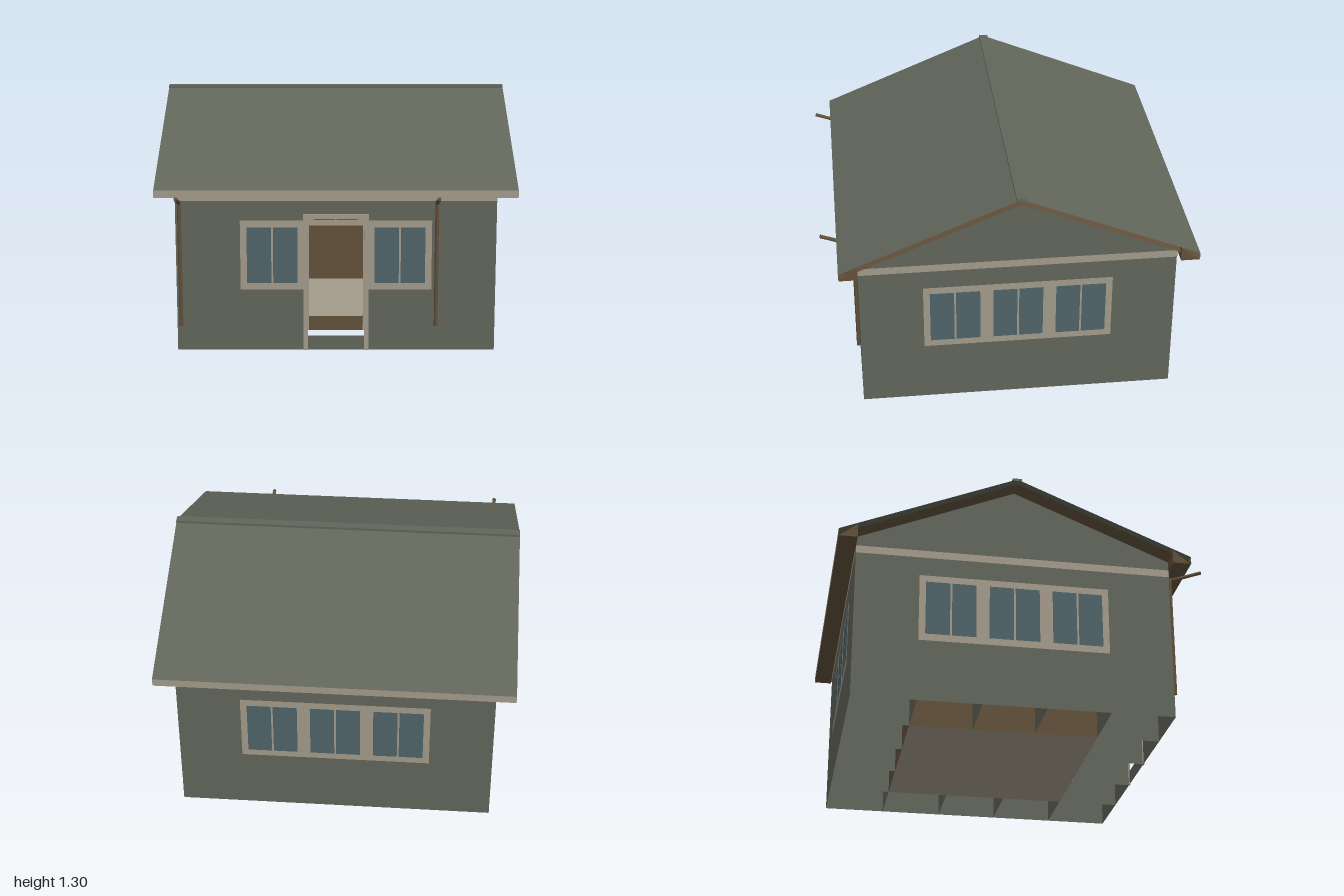
import * as THREE from 'three';

const mat = (name, color, side = THREE.FrontSide) => {
  const m = new THREE.MeshStandardMaterial({ color, side });
  m.name = name;
  return m;
};

export function createModel() {
  const green = mat('wall green', 0x62665a, THREE.DoubleSide);
  const trim = mat('trim beige', 0xa39b8b, THREE.DoubleSide);
  const glass = mat('window glass', 0x4f6468);
  const wood = mat('brown wood', 0x63513b, THREE.DoubleSide);

  const HALF = 0.852, CELL = 0.34, INNER = 0.51, WALL = 0.868;
  const EAVE = 0.953, EAVE_Y = 0.907, RIDGE = 1.3;
  const roofY = (d) => RIDGE - (d / EAVE) * (RIDGE - EAVE_Y);

  const model = new THREE.Group();
  model.name = 'house';
  const house = new THREE.Group();
  house.name = 'building';
  house.position.z = -0.043;
  model.add(house);

  const add = (parent, name, geo, material, x = 0, y = 0, z = 0) => {
    const mesh = new THREE.Mesh(geo, material);
    mesh.name = name;
    mesh.position.set(x, y, z);
    parent.add(mesh);
    return mesh;
  };
  const plate = (parent, name, material, w, h, x, y, z) =>
    add(parent, name, new THREE.PlaneGeometry(w, h), material, x, y, z);
  const points = (list) => list.map((p) => new THREE.Vector2(...p));
  const rect = (x0, y0, x1, y1, Kind = THREE.Shape) =>
    new Kind(points([[x0, y0], [x1, y0], [x1, y1], [x0, y1]]));
  const doorHole = () => rect(-0.15, 0.08, 0.15, 0.73, THREE.Path);

  // Two glass panes of one window
  const windowPanes = (parent, x, z) => {
    for (const s of [-1, 1]) plate(parent, 'windowPane', glass, 0.13, 0.305, x + s * 0.07, 0.53, z);
  };

  // Four sides, each built facing +z and turned into place
  ['front', 'left', 'back', 'right'].forEach((name, i) => {
    const side = new THREE.Group();
    side.name = name + 'Side';
    side.rotation.y = i * Math.PI / 2;
    house.add(side);
    const isFront = i === 0;

    // Outer wall, with a gable on the two ends
    const wall = rect(-HALF, 0, HALF, WALL);
    if (isFront) wall.holes.push(doorHole());
    add(side, name + 'Wall', new THREE.ShapeGeometry(wall), green, 0, 0, HALF);
    if (i % 2) {
      const shoulder = roofY(HALF) - 0.003;
      const gable = new THREE.Shape(points([[-HALF, WALL], [HALF, WALL], [HALF, shoulder],
        [0, RIDGE - 0.003], [-HALF, shoulder]]));
      add(side, name + 'Gable', new THREE.ShapeGeometry(gable), green, 0, 0, HALF);
    }
    plate(side, 'trimBand', trim, HALF * 2, 0.042, 0, 0.847, HALF + 0.002);

    // Inner wall and its windows
    const inner = rect(-INNER, 0, INNER, WALL);
    if (isFront) inner.holes.push(doorHole());
    add(side, 'innerWall', new THREE.ShapeGeometry(inner), wood, 0, 0, INNER);

    // Partitions between outer and inner walls
    for (const k of [-1.5, -0.5, 0.5, 1.5]) {
      const p = plate(side, 'partition', green, HALF - INNER, WALL, k * CELL, WALL / 2, (HALF + INNER) / 2);
      p.rotation.y = Math.PI / 2;
    }

    // Outer windows
    if (isFront) {
      for (const s of [-1, 1]) {
        plate(side, 'windowFrame', trim, 0.335, 0.38, s * 0.3425, 0.53, HALF + 0.002);
        windowPanes(side, s * CELL, HALF + 0.004);
        // Glass beside the entrance passage
        for (const k of [-1, 1]) {
          const pane = plate(side, 'passagePane', glass, 0.13, 0.305,
            s * (CELL / 2 - 0.003), 0.53, HALF - CELL / 2 + k * 0.07);
          pane.rotation.y = -s * Math.PI / 2;
        }
      }
    } else {
      plate(side, 'windowFrame', trim, 1.02, 0.38, 0, 0.53, HALF + 0.002);
      for (const k of [-1, 0, 1]) windowPanes(side, k * CELL, HALF + 0.004);
    }
  });

  // Window on the inside of the back room wall
  plate(house, 'innerWindowFrame', trim, 1.02, 0.38, 0, 0.53, -INNER + 0.003);
  for (const k of [-1, 0, 1]) windowPanes(house, k * CELL, -INNER + 0.006);

  // Door frames at both ends of the passage, flush with the walls
  for (const z of [HALF, INNER]) {
    for (const s of [-1, 1])
      add(house, 'doorPost', new THREE.BoxGeometry(0.025, 0.755, 0.01), trim, s * 0.1625, 0.3775, z);
    add(house, 'doorLintel', new THREE.BoxGeometry(0.35, 0.025, 0.01), trim, 0, 0.7425, z);
  }

  // Floor of the room
  const floor = plate(house, 'floor', trim, INNER * 2, INNER * 2, 0, 0.001, 0);
  floor.rotation.x = -Math.PI / 2;

  // Roof slopes, hung lining, fascia and closed eaves, mirrored front to back
  const length = Math.hypot(EAVE, RIDGE - EAVE_Y);
  const tilt = Math.atan2(RIDGE - EAVE_Y, EAVE);
  const midY = (RIDGE + EAVE_Y) / 2;
  for (const s of [1, -1]) {
    const half = new THREE.Group();
    half.name = s > 0 ? 'frontRoof' : 'backRoof';
    half.rotation.y = s > 0 ? 0 : Math.PI;
    house.add(half);
    for (const [name, material, drop] of [['roofSlope', green, 0], ['roofLining', wood, 0.03]]) {
      const sheet = plate(half, name, material, EAVE * 2, length, 0, midY - drop, EAVE / 2);
      sheet.rotation.x = -Math.PI / 2 + tilt;
    }
    plate(half, 'fascia', trim, EAVE * 2, EAVE_Y - 0.866, 0, (EAVE_Y + 0.866) / 2, EAVE);
    const eave = new THREE.Shape(points([[-HALF, 0.866], [-HALF, roofY(HALF) - 0.006], [-EAVE + 0.001, 0.866]]));
    const eaveGeo = new THREE.ExtrudeGeometry(eave, { depth: EAVE * 2 - 0.004, bevelEnabled: false });
    eaveGeo.translate(0, 0, -EAVE + 0.002).rotateY(Math.PI / 2);
    add(half, 'eave', eaveGeo, wood);
  }
  add(house, 'ridgeCap', new THREE.BoxGeometry(EAVE * 2, 0.014, 0.05), green, 0, 1.298, 0);

  // Wall poles with a slanting arm
  for (const x of [-0.83, 0.535]) {
    add(model, 'pole', new THREE.CylinderGeometry(0.01, 0.01, 0.69, 8), wood, x, 0.485, 0.82);
    const arm = add(model, 'poleArm', new THREE.CylinderGeometry(0.01, 0.01, 0.19, 8), wood, x, 0.849, 0.907);
    arm.rotation.x = Math.PI / 2 - Math.atan2(0.065, 0.18);
  }
  return model;
}
